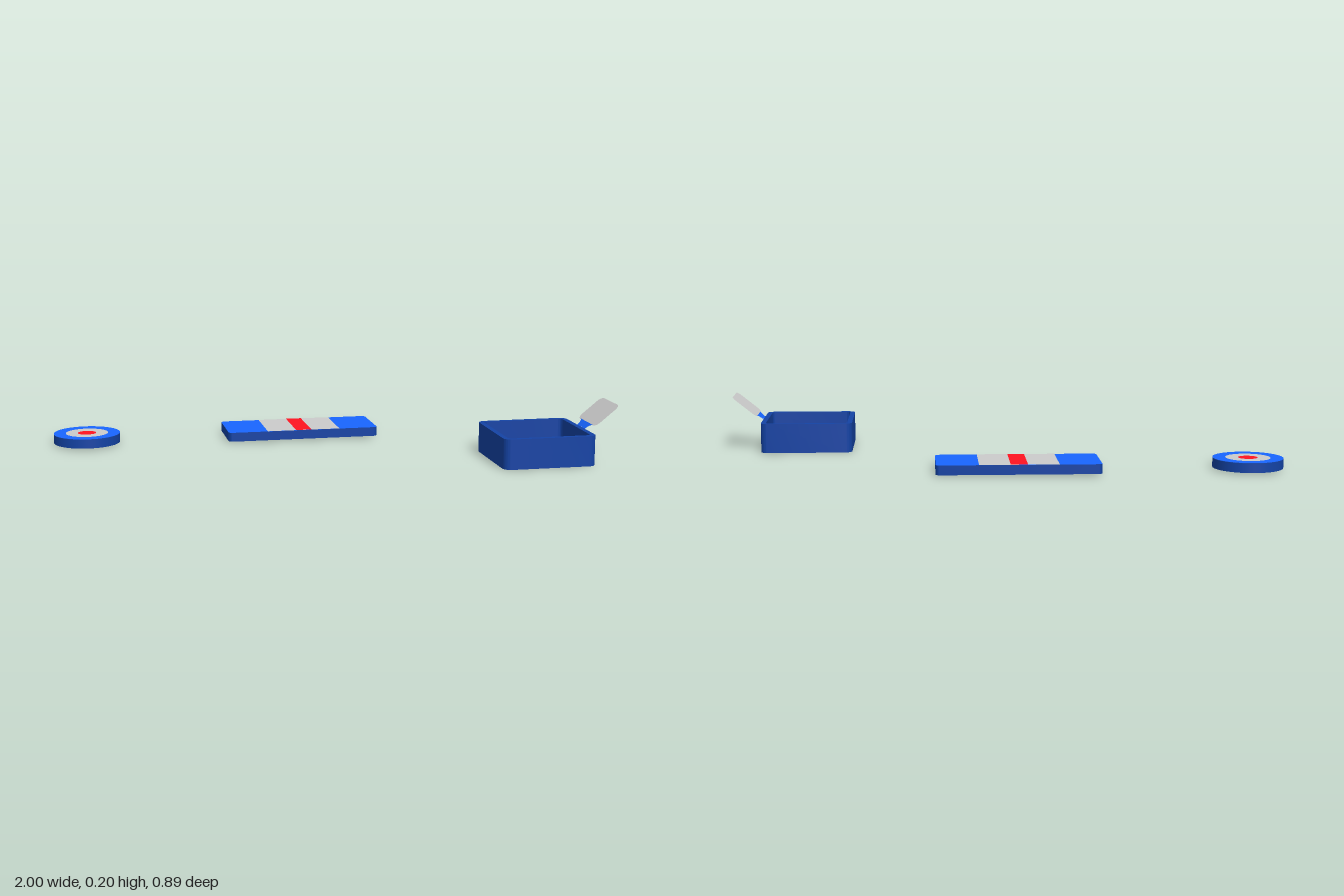
import * as THREE from 'three';
import { toCreasedNormals } from 'three/addons/utils/BufferGeometryUtils.js';

const paint = (color, side = THREE.FrontSide) => new THREE.MeshStandardMaterial({ color, side });

// Rounded rectangle centred on the origin
function roundedRect(w, d, r, Type = THREE.Shape) {
  const x = w / 2, y = d / 2, s = new Type();
  s.moveTo(-x + r, -y);
  s.lineTo(x - r, -y);
  s.absarc(x - r, -y + r, r, -Math.PI / 2, 0);
  s.lineTo(x, y - r);
  s.absarc(x - r, y - r, r, 0, Math.PI / 2);
  s.lineTo(-x + r, y);
  s.absarc(-x + r, y - r, r, Math.PI / 2, Math.PI);
  s.lineTo(-x, -y + r);
  s.absarc(-x + r, -y + r, r, Math.PI, Math.PI * 1.5);
  return s;
}

// Plan shape raised from y0 to y1
function slab(shape, y0, y1) {
  const g = new THREE.ExtrudeGeometry(shape, { depth: y1 - y0, bevelEnabled: false, curveSegments: 8 });
  g.rotateX(-Math.PI / 2).translate(0, y0, 0);
  return toCreasedNormals(g, 0.6);
}

// Flat upward-facing sheet at height y
const sheet = (geometry, y) => geometry.rotateX(-Math.PI / 2).translate(0, y, 0);

function add(parent, name, geometry, material) {
  const mesh = new THREE.Mesh(geometry, material);
  mesh.name = name;
  parent.add(mesh);
  return mesh;
}

function part(parent, name, x, z) {
  const g = new THREE.Group();
  g.name = name;
  g.position.set(x, 0, z);
  parent.add(g);
  return g;
}

export function createModel() {
  const model = new THREE.Group();
  model.name = 'compactSet';
  const navy = paint(0x1443a5), blue = paint(0x1866ff), grey = paint(0xcccccc), red = paint(0xff1320);

  // Round badge with concentric rings
  const disc = part(model, 'roundBadge', -0.875, -0.318);
  add(disc, 'badgeBody', new THREE.CylinderGeometry(0.125, 0.125, 0.034, 48).translate(0, 0.022, 0), navy);
  const rings = [[0.08, 0.125, blue, 'outerRing'], [0.035, 0.08, grey, 'middleRing']];
  for (const [r0, r1, mat, name] of rings) add(disc, name, sheet(new THREE.RingGeometry(r0, r1, 48), 0.04), mat);
  add(disc, 'centreDot', sheet(new THREE.CircleGeometry(0.035, 32), 0.04), red);

  // Striped bar
  const bar = part(model, 'stripedBar', -0.055, -0.32);
  const plan = roundedRect(0.58, 0.227, 0.016);
  add(bar, 'barBody', slab(plan, 0.005, 0.039), navy);
  add(bar, 'barTop', sheet(new THREE.ShapeGeometry(plan, 8), 0.0395), blue);
  add(bar, 'greyBand', sheet(new THREE.PlaneGeometry(0.28, 0.227), 0.04), grey);
  add(bar, 'redStripe', sheet(new THREE.PlaneGeometry(0.06, 0.227), 0.0405), red);

  // Open square tray: walls with a hole, and a floor
  const tray = part(model, 'tray', 0.716, 0.271);
  const walls = roundedRect(0.343, 0.343, 0.028);
  walls.holes.push(roundedRect(0.306, 0.306, 0.016, THREE.Path));
  add(tray, 'trayWalls', slab(walls, 0, 0.11), navy);
  add(tray, 'trayFloor', slab(roundedRect(0.308, 0.308, 0.016), 0, 0.03), navy);

  // Thin tab sloping up and out from the tray rim
  const tab = part(model, 'tab', 0.888, 0.273);
  tab.position.y = 0.11;
  tab.rotation.setFromRotationMatrix(new THREE.Matrix4().makeBasis(
    new THREE.Vector3(0, 0, 1), new THREE.Vector3(0.779, 0.627, 0), new THREE.Vector3(-0.627, 0.779, 0)));
  const stem = new THREE.Shape();
  stem.moveTo(-0.04, 0);
  stem.lineTo(0.04, 0);
  stem.quadraticCurveTo(0.042, 0.027, 0.07, 0.028);
  stem.lineTo(-0.07, 0.028);
  stem.quadraticCurveTo(-0.042, 0.027, -0.04, 0);
  const head = roundedRect(0.18, 0.117, 0.024);
  const under = paint(0x1443a5, THREE.BackSide);
  const makeStem = () => new THREE.ShapeGeometry(stem, 8);
  const makeHead = () => new THREE.ShapeGeometry(head, 8).translate(0, 0.085, 0);
  add(tab, 'tabStem', makeStem(), blue);
  add(tab, 'tabFace', makeHead(), grey);
  add(tab, 'tabStemUnderside', makeStem().translate(0, 0, -0.001), under);
  add(tab, 'tabUnderside', makeHead().translate(0, 0, -0.001), under);

  return model;
}
